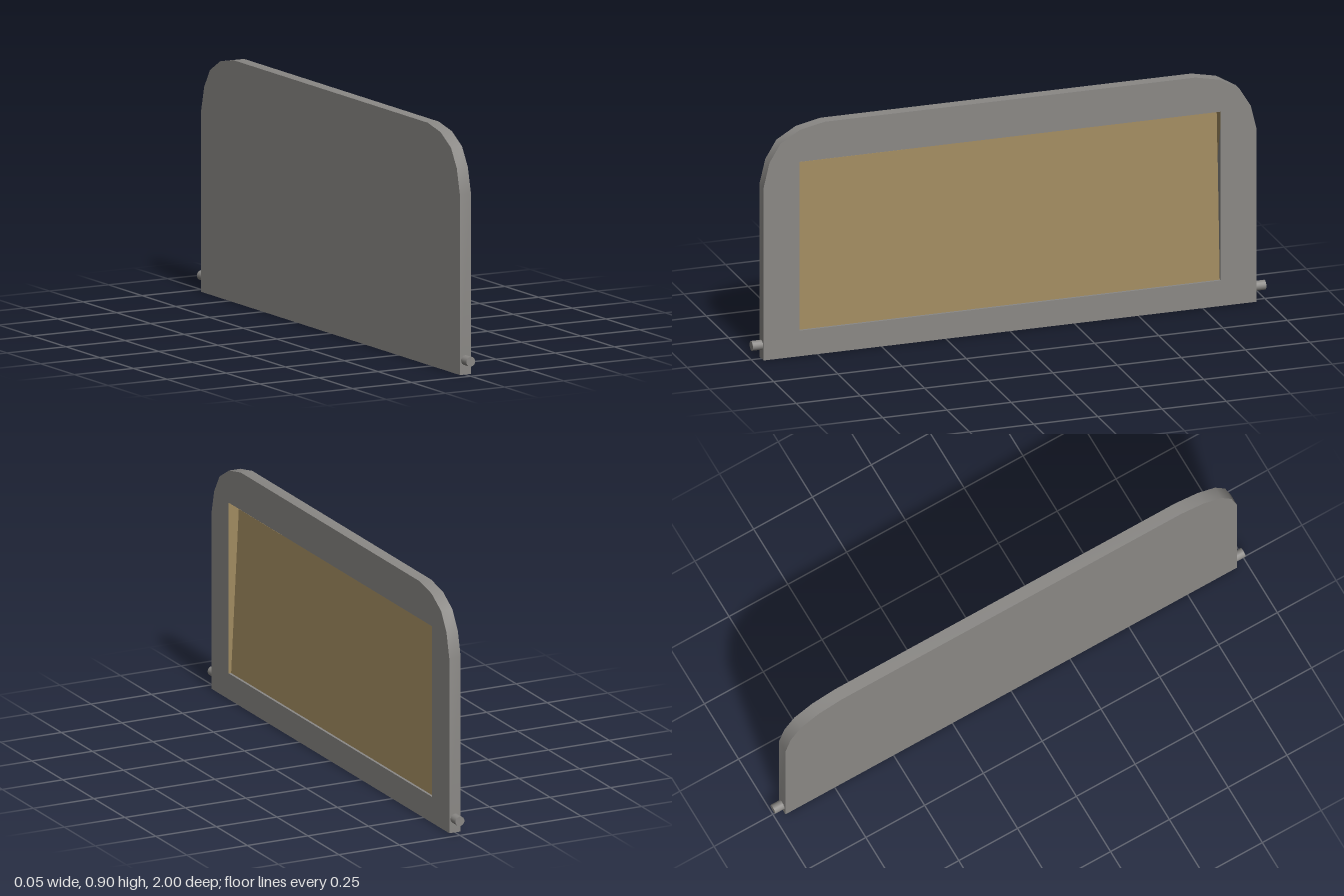
import * as THREE from 'three';
import { toCreasedNormals } from 'three/addons/utils/BufferGeometryUtils.js';

const HALF = 0.0235;                 // half thickness
const WIN = { z: 0.82, y0: 0.1, y1: 0.76 }; // recess opening
const PANEL_TOP = -0.0195, PANEL_BOTTOM = 0.0135; // x of the tilted panel's edges

// Flat quad through four corners
function quad(...corners) {
  const geo = new THREE.BufferGeometry();
  geo.setAttribute('position', new THREE.Float32BufferAttribute(corners.flat(), 3));
  geo.setIndex([0, 1, 2, 0, 2, 3]);
  geo.computeVertexNormals();
  return geo;
}

export function createModel() {
  const model = new THREE.Group();
  model.name = 'foldingBoard';
  const grey = new THREE.MeshStandardMaterial({ color: 0x8a8885 });
  grey.name = 'warm grey';
  const tan = new THREE.MeshStandardMaterial({ color: 0xa18b60, side: THREE.DoubleSide });
  tan.name = 'tan';
  const add = (name, geo, mat) => {
    const mesh = new THREE.Mesh(geo, mat);
    mesh.name = name;
    model.add(mesh);
    return mesh;
  };

  // Frame outline with faceted round upper corners, mirrored about the middle
  const side = [[0.96, 0], [0.96, 0.675], [0.937, 0.77], [0.894, 0.84], [0.818, 0.885], [0.722, 0.905]];
  const mirrored = side.map(([u, y]) => [-u, y]).reverse();
  const outline = new THREE.Shape([...side, ...mirrored].map(p => new THREE.Vector2(...p)));
  const { z, y0, y1 } = WIN;
  outline.holes.push(new THREE.Path(
    [[-z, y0], [-z, y1], [z, y1], [z, y0]].map(p => new THREE.Vector2(...p))));
  const frame = new THREE.ExtrudeGeometry(outline, { depth: 2 * HALF, bevelEnabled: false });
  frame.rotateY(Math.PI / 2).translate(-HALF, 0, 0);
  add('frame', toCreasedNormals(frame, 0.6), grey);

  // Plate closing the back of the opening
  const back = new THREE.BoxGeometry(0.002, y1 - y0, 2 * z);
  add('backPlate', back.translate(-HALF + 0.001, (y0 + y1) / 2, 0), grey);

  // Inset panel, deeper at the top than at the bottom
  add('insetPanel', quad(
    [PANEL_BOTTOM, y0, z], [PANEL_BOTTOM, y0, -z],
    [PANEL_TOP, y1, -z], [PANEL_TOP, y1, z]), tan);

  // Tan linings on the recess walls
  const e = 0.0006;
  add('frontWallLining', quad(
    [HALF, y0, z - e], [PANEL_BOTTOM, y0, z - e],
    [PANEL_TOP, y1, z - e], [HALF, y1, z - e]), tan);
  const mid = 0.57;
  const midX = THREE.MathUtils.mapLinear(mid, y0, y1, PANEL_BOTTOM, PANEL_TOP);
  add('rearWallLining', quad(
    [midX, mid, -z + e], [HALF, y1 - 0.06, -z + e],
    [HALF, y1, -z + e], [PANEL_TOP, y1, -z + e]), tan);
  add('topWallLining', quad(
    [PANEL_TOP, y1 - e, z], [PANEL_TOP, y1 - e, -0.2],
    [HALF, y1 - e, 0.4], [HALF, y1 - e, z]), tan);

  // Hinge pins at both ends
  for (const s of [1, -1]) {
    const pin = new THREE.CylinderGeometry(0.0185, 0.0185, 0.05, 16);
    const name = s > 0 ? 'frontPin' : 'rearPin';
    add(name, pin.rotateX(Math.PI / 2).translate(0, 0.054, s * 0.975), grey);
  }
  return model;
}
